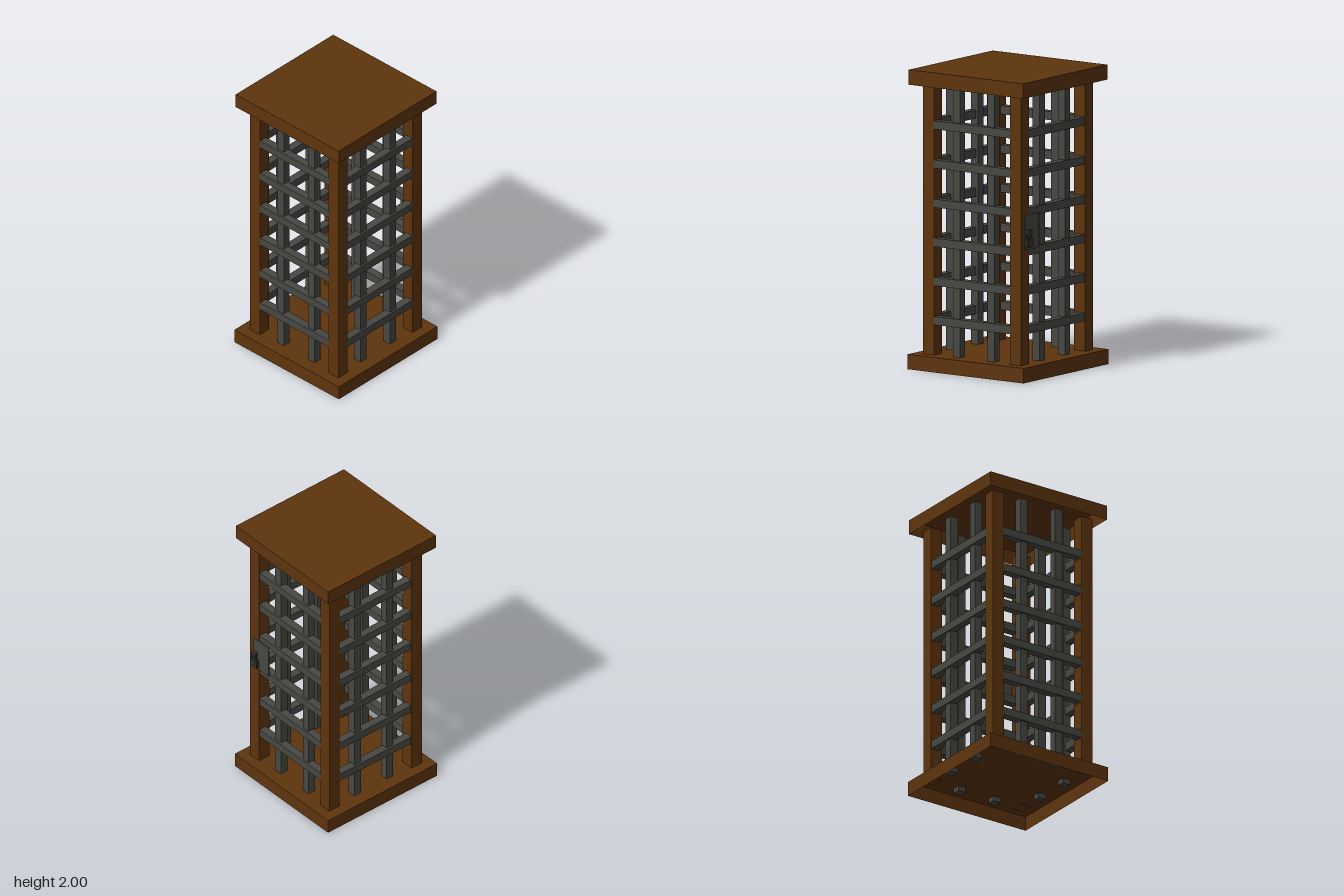
import * as THREE from 'three';

export function createModel() {
  const model = new THREE.Group();
  const mat = (name, color, side = THREE.FrontSide) => {
    const m = new THREE.MeshStandardMaterial({ color, side });
    m.name = name;
    return m;
  };
  const wood = mat('brown wood', 0x5e340d, THREE.DoubleSide);
  const iron = mat('grey iron', 0x474843);
  const darkIron = mat('dark iron', 0x30312e);

  const add = (parent, name, geometry, material, x, y, z) => {
    const mesh = new THREE.Mesh(geometry, material);
    mesh.name = name;
    mesh.position.set(x, y, z);
    parent.add(mesh);
    return mesh;
  };
  const box = (parent, name, material, w, h, d, x, y, z) =>
    add(parent, name, new THREE.BoxGeometry(w, h, d), material, x, y, z);

  // Base and roof: shallow lids, hollow underneath
  const lid = (name, size, y) => {
    const g = new THREE.BoxGeometry(size, 0.1, size);
    const index = Array.from(g.index.array);
    index.splice(18, 6); // drop the underside
    g.setIndex(index);
    g.clearGroups();
    add(model, name, g, wood, 0, y, 0);
  };
  lid('base', 0.945, 0.05);
  lid('roof', 0.935, 1.95);

  // Corner posts
  for (const x of [-0.356, 0.356])
    for (const z of [-0.356, 0.356])
      box(model, 'cornerPost', wood, 0.089, 1.82, 0.089, x, 1.0, z);

  // Four barred sides
  const sideNames = ['frontBars', 'leftBars', 'backBars', 'rightBars'];
  sideNames.forEach((name, i) => {
    const side = new THREE.Group();
    side.name = name;
    side.rotation.y = (i * Math.PI) / 2;
    for (const x of [-0.14, 0.14])
      box(side, 'uprightBar', iron, 0.057, 1.855, 0.057, x, 0.9925, 0.354);
    for (let k = 0; k < 6; k++)
      box(side, 'crossBar', iron, 0.64, 0.056, 0.055, 0, 0.33 + k * 0.2614, 0.369);
    model.add(side);
  });

  // Lock on the back
  const lock = new THREE.Group();
  lock.name = 'lock';
  model.add(lock);
  box(lock, 'lockPlate', iron, 0.15, 0.235, 0.009, 0.285, 0.983, -0.402);
  box(lock, 'staple', darkIron, 0.035, 0.03, 0.03, 0.335, 0.985, -0.42);
  const shackle = add(lock, 'shackle', new THREE.TorusGeometry(0.02, 0.005, 6, 12, Math.PI),
    darkIron, 0.335, 0.957, -0.42);
  shackle.scale.y = 1.2;
  for (const s of [-1, 1])
    box(lock, 'shackleLeg', darkIron, 0.01, 0.02, 0.01, 0.335 + s * 0.02, 0.95, -0.42);
  box(lock, 'padlockBody', darkIron, 0.066, 0.06, 0.02, 0.335, 0.915, -0.42);
  box(lock, 'keyhole', iron, 0.014, 0.022, 0.004, 0.335, 0.915, -0.431);

  return model;
}
